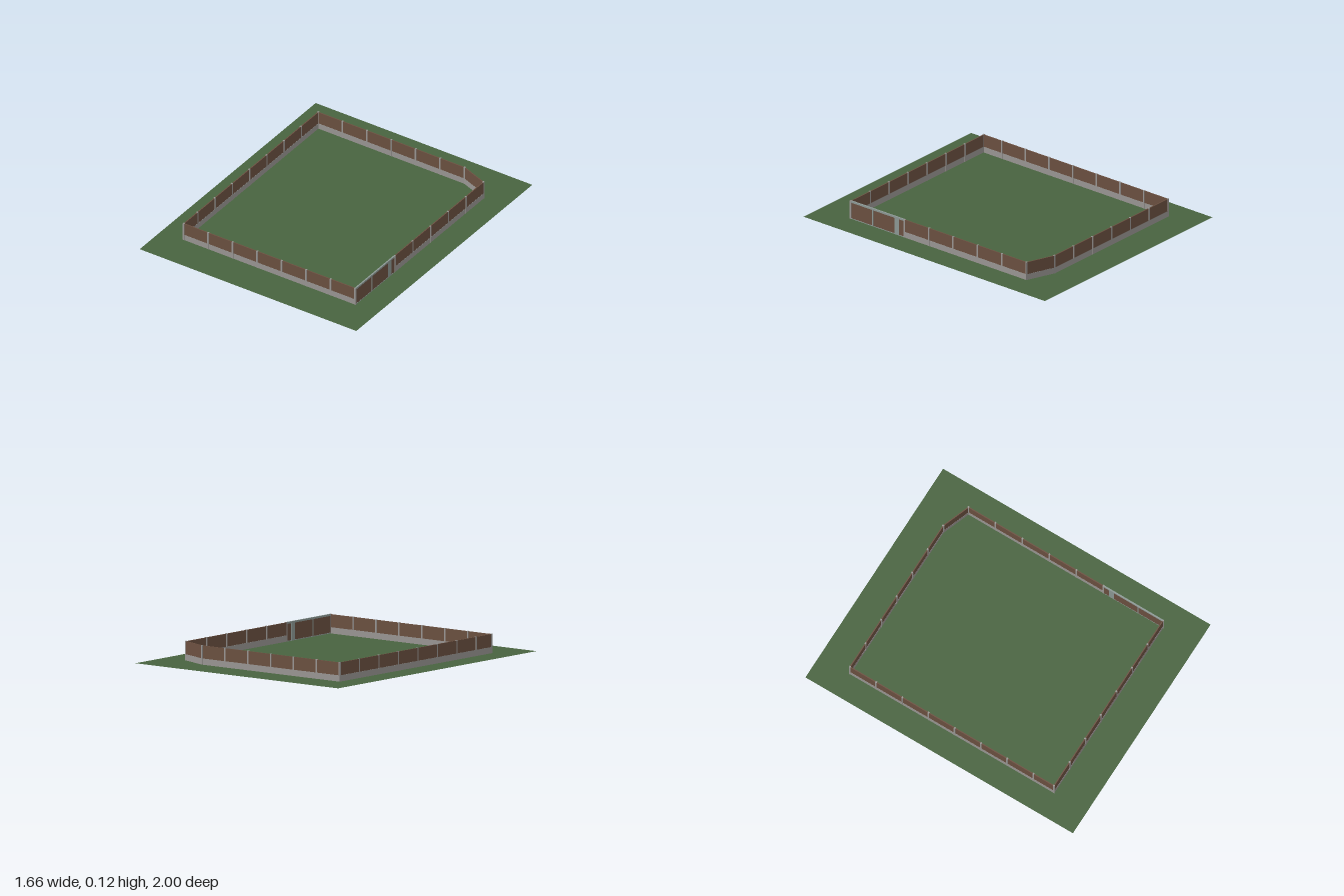
import * as THREE from 'three';

const mat = (color) => new THREE.MeshStandardMaterial({ color });
const concrete = mat(0x999693);
const wood = mat(0x6b5040);
const steel = mat(0x8c9894);
const grass = mat(0x48633f);
grass.side = THREE.DoubleSide;

const HEIGHT = 0.125, BASE = 0.04, POST = 0.011;

function box(parent, name, material, size, pos) {
  const mesh = new THREE.Mesh(new THREE.BoxGeometry(...size), material);
  mesh.name = name;
  mesh.position.set(...pos);
  parent.add(mesh);
}

// Group whose local x axis runs along the ground from a to b
function run(name, a, b) {
  const group = new THREE.Group();
  group.name = name;
  group.position.set(a[0], 0, a[1]);
  group.rotation.y = -Math.atan2(b[1] - a[1], b[0] - a[0]);
  return group;
}

// Low wall with posts and a timber panel in every bay
function fence(name, a, b, bay) {
  const group = run(name, a, b);
  const length = Math.hypot(b[0] - a[0], b[1] - a[1]);
  box(group, 'baseWall', concrete, [length, BASE, 0.009], [length / 2, BASE / 2, 0]);
  const stops = [];
  for (let s = 0; s < length - 0.03; s += bay) stops.push(s);
  stops.push(length);
  stops.forEach((s, i) => {
    box(group, 'post', concrete, [POST, HEIGHT, POST], [s, HEIGHT / 2, 0]);
    if (i === 0) return;
    const width = s - stops[i - 1] - POST;
    const middle = (s + stops[i - 1]) / 2;
    box(group, 'panel', wood, [width, HEIGHT - 0.002 - BASE, 0.007],
      [middle, (HEIGHT - 0.002 + BASE) / 2, 0]);
  });
  return group;
}

// Gate section: two leaves, a wide pillar and a narrow door
function gate(a, b) {
  const group = run('gate', a, b);
  const length = Math.hypot(b[0] - a[0], b[1] - a[1]);
  box(group, 'topRail', steel, [length, 0.012, 0.01], [length / 2, HEIGHT - 0.006, 0]);
  box(group, 'bottomRail', steel, [length, 0.005, 0.009], [length / 2, 0.0025, 0]);
  for (const [from, to] of [[0.005, 0.18], [0.188, 0.363], [0.402, 0.44]])
    box(group, 'gateLeaf', wood, [to - from, 0.108, 0.007], [(from + to) / 2, 0.059, 0]);
  for (const [s, width] of [[0.002, 0.007], [0.184, 0.008], [0.3825, 0.039], [length, 0.009]])
    box(group, 'gatePost', steel, [width, HEIGHT, 0.01], [s, HEIGHT / 2, 0]);
  return group;
}

export function createModel() {
  const model = new THREE.Group();
  model.name = 'fencedPlot';

  // Lawn
  const lawn = new THREE.Mesh(new THREE.PlaneGeometry(1.66, 2), grass);
  lawn.name = 'lawn';
  lawn.rotation.x = -Math.PI / 2;
  model.add(lawn);

  // Perimeter corners, with one corner cut off at the back
  const frontLeft = [0.656, 0.752], frontRight = [-0.658, 0.752];
  const backRight = [-0.658, -0.773], cutBack = [0.465, -0.773];
  const cutSide = [0.656, -0.702], gateEnd = [0.656, 0.307];

  model.add(
    fence('frontFence', frontRight, frontLeft, 1.314 / 7),
    fence('rightFence', backRight, frontRight, 0.196),
    fence('backFence', backRight, cutBack, 1.123 / 6),
    fence('cornerFence', cutBack, cutSide, 0.21),
    fence('leftFence', cutSide, gateEnd, 1.009 / 5),
    gate(frontLeft, gateEnd),
  );
  return model;
}
